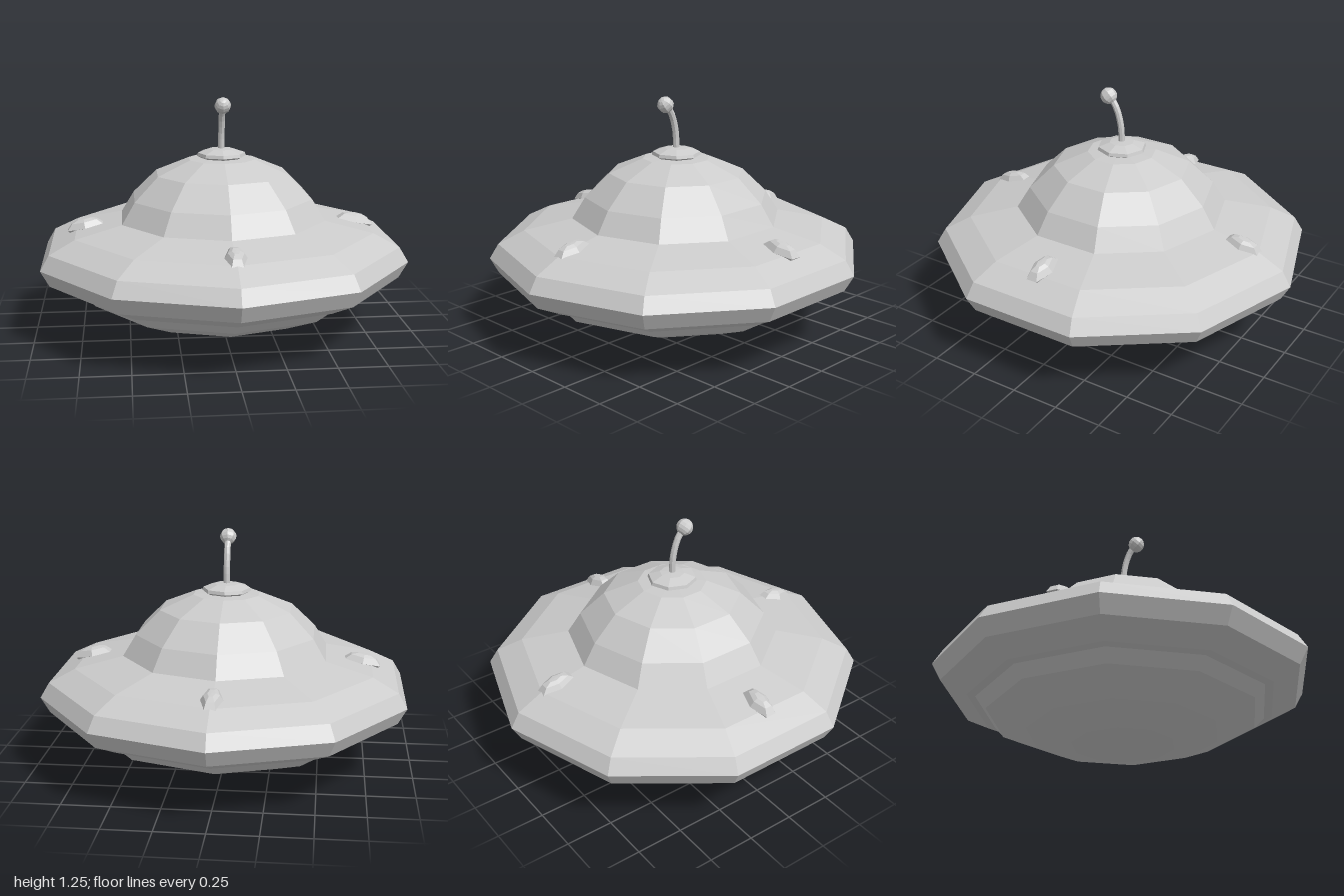
import * as THREE from 'three';

const material = new THREE.MeshStandardMaterial({ color: 0xcccccc, flatShading: true });

function addMesh(parent, name, geometry) {
  const mesh = new THREE.Mesh(geometry, material);
  mesh.name = name;
  parent.add(mesh);
  return mesh;
}

// Profiles run from bottom to top as [radius, height]
function lathe(profile, sides) {
  return new THREE.LatheGeometry(profile.map(([r, y]) => new THREE.Vector2(r, y)), sides);
}

export function createModel() {
  const group = new THREE.Group();

  // Ten-sided saucer: belly, step, rim and upper deck
  addMesh(group, 'hull', lathe([
    [0, 0], [0.27, 0.03], [0.505, 0.09], [0.715, 0.18], [0.77, 0.24],
    [0.815, 0.247], [0.953, 0.315], [1, 0.4], [0.953, 0.478], [0.815, 0.546], [0.56, 0.6],
  ], 10));

  // Faceted dome
  addMesh(group, 'dome', lathe([
    [0.56, 0.6], [0.49, 0.712], [0.36, 0.838], [0.18, 0.913], [0, 0.925],
  ], 10));

  // Disc cap under the antenna
  addMesh(group, 'cap', lathe([
    [0, 0.915], [0.105, 0.915], [0.13, 0.928], [0.125, 0.945], [0.065, 0.965], [0, 0.97],
  ], 8));

  // Antenna curving toward the front, with a ball on its tip
  const antenna = new THREE.Group();
  antenna.name = 'antenna';
  group.add(antenna);
  const path = new THREE.CatmullRomCurve3([
    [0.95, 0], [1.05, 0.006], [1.13, 0.027], [1.18, 0.055], [1.2, 0.08],
  ].map(([y, z]) => new THREE.Vector3(0, y, z)));
  addMesh(antenna, 'antennaRod', new THREE.TubeGeometry(path, 8, 0.017, 8));
  const ball = addMesh(antenna, 'antennaBall', new THREE.SphereGeometry(0.044, 8, 8));
  ball.position.set(0, 1.203, 0.08);
  ball.rotation.x = Math.PI / 4;

  // Four elongated lamps on the deck, tilted with its slope
  const lampShape = lathe([
    [0, -0.04], [0.045, -0.025], [0.058, 0], [0.04, 0.03], [0.02, 0.042], [0, 0.043],
  ], 6);
  lampShape.scale(1.9, 1, 1);
  for (let i = 0; i < 4; i++) {
    const arm = new THREE.Group();
    arm.name = 'lamp' + (i + 1);
    arm.rotation.y = i * Math.PI / 2;
    const lamp = addMesh(arm, 'lampBody', lampShape);
    lamp.position.set(0.727, 0.557, 0);
    lamp.rotation.z = -0.2;
    group.add(arm);
  }

  return group;
}
